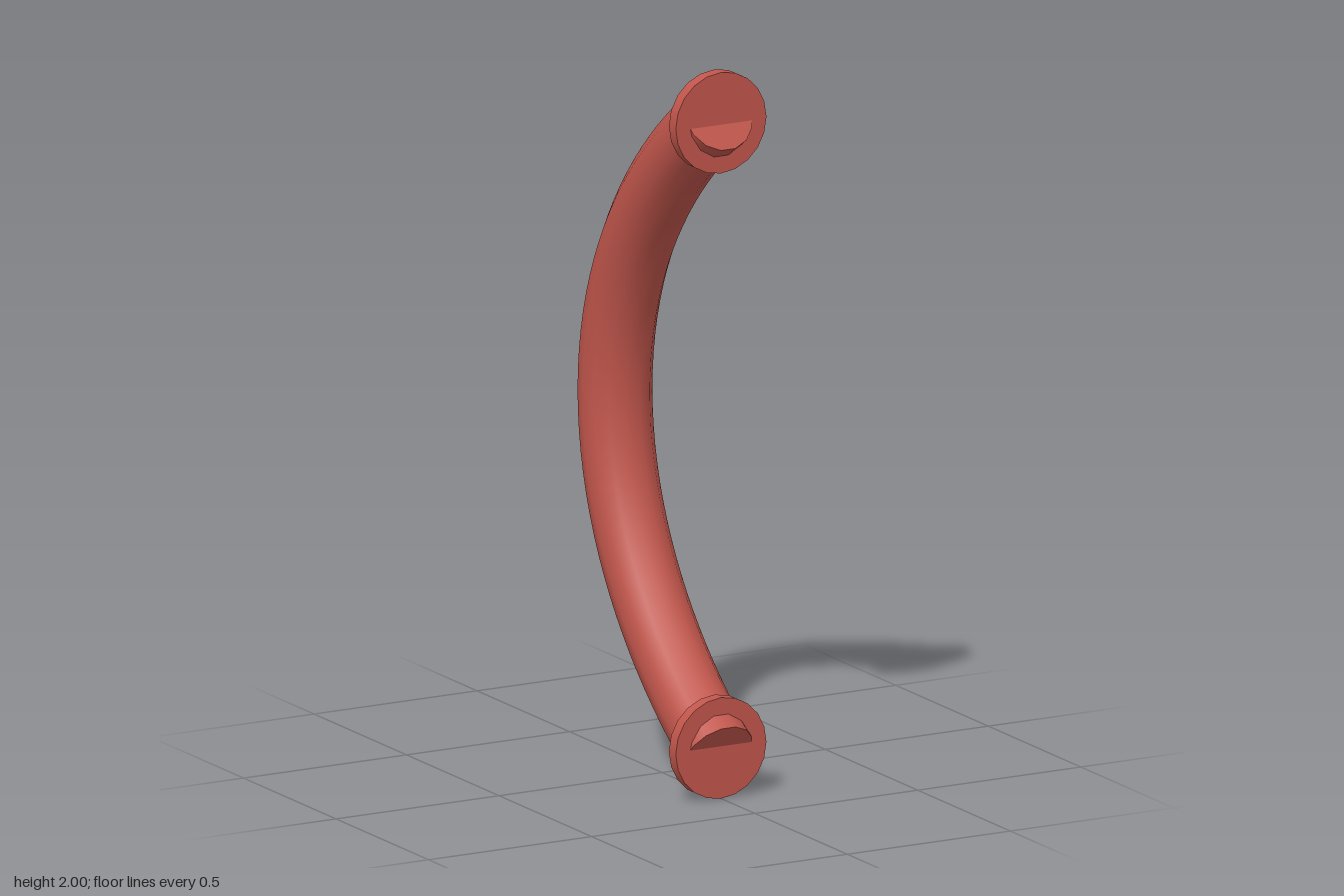
import * as THREE from 'three';

export function createModel() {
  const group = new THREE.Group();
  const red = new THREE.MeshStandardMaterial({ color: 0xc1564c });
  red.name = 'red';

  const add = (name, geometry) => {
    const mesh = new THREE.Mesh(geometry, red);
    mesh.name = name;
    group.add(mesh);
    return mesh;
  };

  const radius = 0.1, sides = 14;

  // Bowed grip
  const path = new THREE.CubicBezierCurve3(
    new THREE.Vector3(0, 0.122, 0.304),
    new THREE.Vector3(0, 0.615, -0.441),
    new THREE.Vector3(0, 1.385, -0.441),
    new THREE.Vector3(0, 1.878, 0.304)
  );
  add('grip', new THREE.TubeGeometry(path, 40, radius, sides, false));

  for (const [name, t, sign] of [['lower', 0, -1], ['upper', 1, 1]]) {
    // Flat end of the grip
    const out = path.getTangent(t).multiplyScalar(sign);
    const cap = add(name + 'GripEnd', new THREE.CircleGeometry(radius, sides));
    cap.position.copy(path.getPoint(t));
    cap.rotation.x = Math.atan2(-out.y, out.z);

    // Round mounting plate
    const plate = add(name + 'MountingPlate', new THREE.CylinderGeometry(0.139, 0.139, 0.037, 20));
    plate.rotation.x = Math.PI / 2;
    plate.position.set(0, 1 + sign * 0.861, 0.3);
  }

  return group;
}
